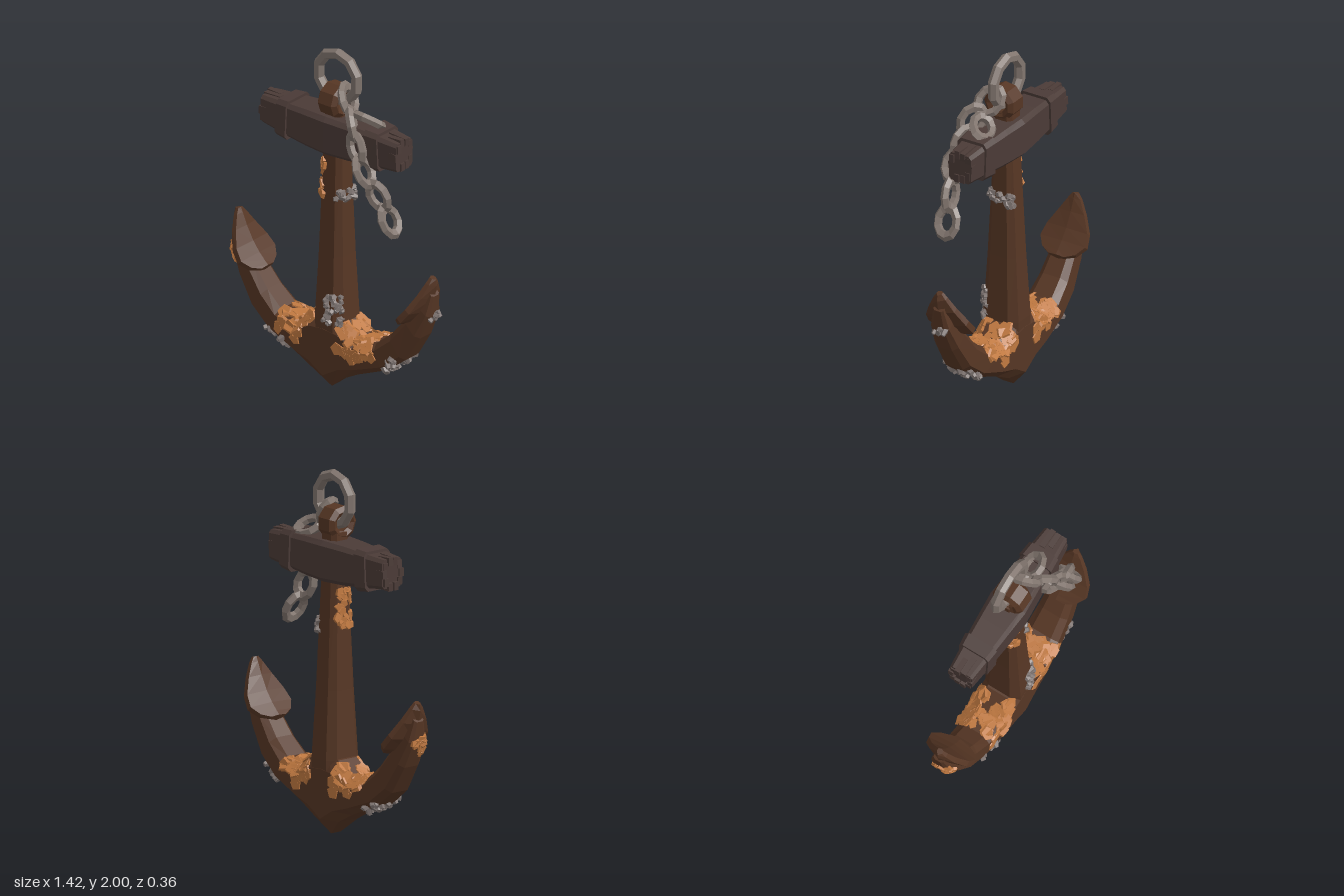
import * as THREE from 'three';
import { mergeGeometries } from 'three/addons/utils/BufferGeometryUtils.js';

const ZC = -0.03; // depth of the anchor's middle plane
const V = (x, y, z) => new THREE.Vector3(x, y, z);
const paint = (name, color) => Object.assign(new THREE.MeshStandardMaterial({ color }), { name });

let seed = 7;
const rnd = (a = 0, b = 1) => {
  seed = (seed * 16807) % 2147483647;
  return a + (b - a) * (seed / 2147483647);
};

// Chamfered rectangles: forged iron has broad chamfers, hewn timber narrow ones
const chamfered = (c) => [[-c, 1], [c, 1], [1, c], [1, -c], [c, -1], [-c, -1], [-1, -c], [-1, c]];
const FORGED = chamfered(0.6);
const HEWN = chamfered(0.78);

function flat(geo) {
  const g = geo.index ? geo.toNonIndexed() : geo;
  g.computeVertexNormals();
  return g;
}

// Skin over closed rings, capped at both ends and turned outwards
function loft(rings) {
  const n = rings[0].length, tris = [];
  for (let i = 0; i < rings.length - 1; i++) {
    for (let j = 0; j < n; j++) {
      const k = (j + 1) % n, [a, b] = [rings[i], rings[i + 1]];
      tris.push([a[j], a[k], b[k]], [a[j], b[k], b[j]]);
    }
  }
  const cap = (r, flip) => {
    const c = centre(r);
    r.forEach((p, j) => tris.push(flip ? [c, r[(j + 1) % n], p] : [c, p, r[(j + 1) % n]]));
  };
  cap(rings[0], true);
  cap(rings[rings.length - 1], false);
  const o = centre(rings[0]);
  let volume = 0;
  for (const [a, b, c] of tris) {
    volume += a.clone().sub(o).dot(b.clone().sub(o).cross(c.clone().sub(o)));
  }
  const pts = tris.flatMap(([a, b, c]) => (volume < 0 ? [a, c, b] : [a, b, c]));
  return flat(new THREE.BufferGeometry().setFromPoints(pts));
}

function centre(ring) {
  return ring.reduce((s, p) => s.add(p), V(0, 0, 0)).divideScalar(ring.length);
}

// Point on a lofted skin: s runs along the sections, v around them
function onSkin(rings, s, v) {
  const n = rings[0].length, i = Math.min(Math.floor(s), rings.length - 2);
  const j = Math.floor(v) % n, f = v - Math.floor(v);
  const at = (r) => r[j].clone().lerp(r[(j + 1) % n], f);
  return at(rings[i]).lerp(at(rings[i + 1]), s - i);
}

// Many small pieces set on a skin, facing outwards
function scatter(rings, [s0, s1], [v0, v1], count, tilt, piece) {
  const parts = [];
  for (let i = 0; i < count; i++) {
    const s = rnd(s0, s1), v = rnd(v0, v1);
    const p = onSkin(rings, s, v);
    const n = onSkin(rings, s + 0.01, v).sub(p).cross(onSkin(rings, s, v + 0.01).sub(p)).normalize();
    const k = Math.min(Math.floor(s), rings.length - 2);
    const mid = centre(rings[k]).lerp(centre(rings[k + 1]), s - k);
    if (n.dot(p.clone().sub(mid)) < 0) n.negate();
    n.add(V(rnd(-tilt, tilt), rnd(-tilt, tilt), rnd(-tilt, tilt))).normalize();
    const g = piece().rotateY(rnd(0, 6.28));
    g.applyQuaternion(new THREE.Quaternion().setFromUnitVectors(V(0, 1, 0), n));
    parts.push(g.translate(p.x, p.y, p.z));
  }
  return flat(mergeGeometries(parts));
}

const flake = () => new THREE.CylinderGeometry(rnd(0.032, 0.044), rnd(0.038, 0.05), 0.011, 5).scale(1, 1, rnd(0.65, 1));
const chip = () => flake().scale(0.75, 1.5, 0.75);
const barnacle = () => new THREE.CylinderGeometry(rnd(0.01, 0.016), rnd(0.018, 0.027), rnd(0.03, 0.05), 5);

export function createModel() {
  const iron = paint('rusted iron', 0x563624);
  const wood = paint('old wood', 0x4b3b37);
  const steel = paint('chain metal', 0x82766f);
  const rust = paint('orange rust', 0xbf7840);
  const shell = paint('barnacle grey', 0x807673);

  const model = new THREE.Group();
  model.name = 'anchor';
  const add = (name, geo, mat) => {
    const m = new THREE.Mesh(geo, mat);
    m.name = name;
    model.add(m);
    return m;
  };

  // Shank: height, half width, half depth
  const shank = [[0.15, 0.1, 0.113], [0.42, 0.1, 0.112], [0.8, 0.083, 0.09], [1.4, 0.066, 0.062], [1.66, 0.06, 0.058]]
    .map(([y, w, d]) => FORGED.map(([a, b]) => V(0.01 + a * w, y, ZC + b * d)));
  add('shank', loft(shank), iron);

  // Arms: lower point, upper point, half depth; the keel narrows to the crown's point
  const armSections = [
    [0, 0, 0, 0.46, 0.113], [0.1, 0.085, 0.1, 0.425, 0.113], [0.21, 0.145, 0.2, 0.35, 0.111],
    [0.4, 0.225, 0.33, 0.365, 0.1], [0.53, 0.325, 0.43, 0.45, 0.09], [0.625, 0.48, 0.53, 0.57, 0.077],
    [0.685, 0.62, 0.615, 0.67, 0.058], [0.697, 0.74, 0.658, 0.77, 0.032],
  ];
  const arms = {};
  for (const side of [-1, 1]) {
    const label = side < 0 ? 'right' : 'left';
    const arm = armSections.map(([x0, y0, x1, y1, d], i) => FORGED.map(([a, b]) => {
      const t = (a + 1) / 2, keel = i === 0 && a === -1 ? 0.5 : 1;
      return V(side * (x0 + (x1 - x0) * t), y0 + (y1 - y0) * t, ZC + b * d * keel);
    }));
    arms[label] = arm;
    add(label + 'Arm', loft(arm), iron);

    // Spade-shaped fluke curving up the inside of the arm
    const spine = new THREE.QuadraticBezierCurve(
      new THREE.Vector2(0.475, 0.555), new THREE.Vector2(0.6, 0.635), new THREE.Vector2(0.665, 0.845));
    const fluke = [[0, 0.05, 0.5], [0.1, 0.105, 0.8], [0.28, 0.142, 1], [0.5, 0.128, 1], [0.75, 0.08, 0.9], [0.93, 0.038, 0.7], [1, 0.016, 0.5]]
      .map(([t, w, k]) => {
        const p = spine.getPoint(t), q = spine.getTangent(t);
        return [[-1, 0], [0, 0.012], [1, 0], [1, -0.034], [0, -0.07], [-1, -0.034]].map(([a, h]) =>
          V(side * (p.x - q.y * h * k), p.y + q.x * h * k, ZC + a * w));
      });
    add(label + 'Fluke', loft(fluke), iron);
    add(label + 'ArmRust', scatter(arm, [1, 2.85], [0.45, 4.55], 72, 0.06, flake), rust);
  }

  // Wooden stock and its bands: x, bottom, top, half depth
  const beam = (rows, slant = 0) => loft(rows.map(([x, y0, y1, d]) => HEWN.map(([a, b]) =>
    V(x + slant * a, (y0 + y1) / 2 + (a * (y1 - y0)) / 2, ZC + b * d))));
  add('stock', beam([
    [-0.465, 1.435, 1.595, 0.07], [-0.31, 1.415, 1.605, 0.085], [-0.15, 1.4, 1.615, 0.098],
    [0, 1.395, 1.62, 0.11], [0.15, 1.4, 1.615, 0.098], [0.32, 1.415, 1.605, 0.085], [0.475, 1.425, 1.59, 0.07],
  ]), wood);
  add('rightBand', beam([[-0.345, 1.402, 1.618, 0.092], [-0.27, 1.393, 1.624, 0.1]], 0.006), wood);
  add('leftBand', beam([[0.275, 1.393, 1.624, 0.1], [0.36, 1.402, 1.618, 0.092]], -0.006), wood);

  // Splintered strips at the ends of the stock
  const strips = [];
  for (const side of [-1, 1]) {
    for (let i = 0; i < 10; i++) {
      const a = (i / 10) * Math.PI * 2, l = rnd(0.07, 0.12);
      const g = new THREE.BoxGeometry(l, 0.045, 0.03).rotateZ(rnd(-0.08, 0.08));
      strips.push(g.translate(side * (0.485 - l / 2 - rnd(0, 0.015)), 1.513 + Math.sin(a) * 0.072, ZC + Math.cos(a) * 0.06));
    }
  }
  add('stockSplinters', flat(mergeGeometries(strips)), wood);

  // Eye at the head of the shank, bored from side to side
  const eye = [[0.042, -0.05], [0.07, -0.065], [0.097, -0.045], [0.097, 0.045], [0.07, 0.065], [0.042, 0.05], [0.042, -0.05]]
    .map(([r, y]) => new THREE.Vector2(r, y));
  add('eye', flat(new THREE.LatheGeometry(eye, 9).rotateZ(Math.PI / 2)), iron).position.set(0.014, 1.705, -0.013);

  // Ring through the eye
  const ring = new THREE.TorusGeometry(0.136, 0.032, 6, 10).rotateZ(0.3).scale(1, 1, 0.95);
  add('ring', flat(ring), steel).position.set(0.014, 1.832, ZC);

  // Chain link at a point, along d; roll 0 faces the front and 90 is on edge
  const addLink = (name, p, d, roll) => {
    const n = V(0, 0, 1).addScaledVector(d, -d.z).normalize();
    const side = n.clone().cross(d).applyAxisAngle(d, THREE.MathUtils.degToRad(roll));
    const basis = new THREE.Matrix4().makeBasis(d, side, d.clone().cross(side));
    const link = new THREE.TorusGeometry(0.059, 0.024, 5, 10).scale(1.3, 1, 1).applyMatrix4(basis);
    add(name, flat(link), steel).position.copy(p);
  };
  const stops = [
    [0.12, 1.745, 0.01, 75], [0.195, 1.645, 0.07, 50], [0.25, 1.53, 0.1, 15],
    [0.31, 1.41, 0.108, 85], [0.39, 1.28, 0.085, 0], [0.453, 1.145, 0.065, 90],
  ];
  const at = stops.map(([x, y, z]) => V(x, y, z));
  stops.forEach(([, , , roll], i) => {
    const d = at[Math.min(i + 1, 5)].clone().sub(at[Math.max(i - 1, 0)]).normalize();
    addLink('chainLink' + (i + 1), at[i], d, roll);
  });
  // Slack link lying over the top of the stock
  addLink('slackLink', V(0.235, 1.645, -0.02), V(0.8, -0.3, -0.35).normalize(), 50);

  // Rust flakes on the shank and the outer arm
  add('shankRust', scatter(shank, [2.58, 2.9], [6, 8], 28, 0.2, chip), rust);
  add('armTipRust', scatter(arms.right, [5.5, 6.15], [6, 8], 18, 0.25, chip), rust);

  // Barnacle clusters
  add('upperShankBarnacles', scatter(shank, [2.5, 2.65], [1, 4], 20, 0.5, barnacle), shell);
  add('lowerShankBarnacles', scatter(shank, [0.95, 1.42], [0.5, 1.9], 30, 0.5, barnacle), shell);
  add('rightArmBarnacles', scatter(arms.right, [2.2, 3.1], [5.5, 8], 32, 0.5, barnacle), shell);
  add('leftArmBarnacles', scatter(arms.left, [3.0, 3.7], [5.5, 8], 26, 0.5, barnacle), shell);
  add('leftTipBarnacles', scatter(arms.left, [5.8, 6.1], [6, 7], 5, 0.5, barnacle), shell);

  return model;
}
